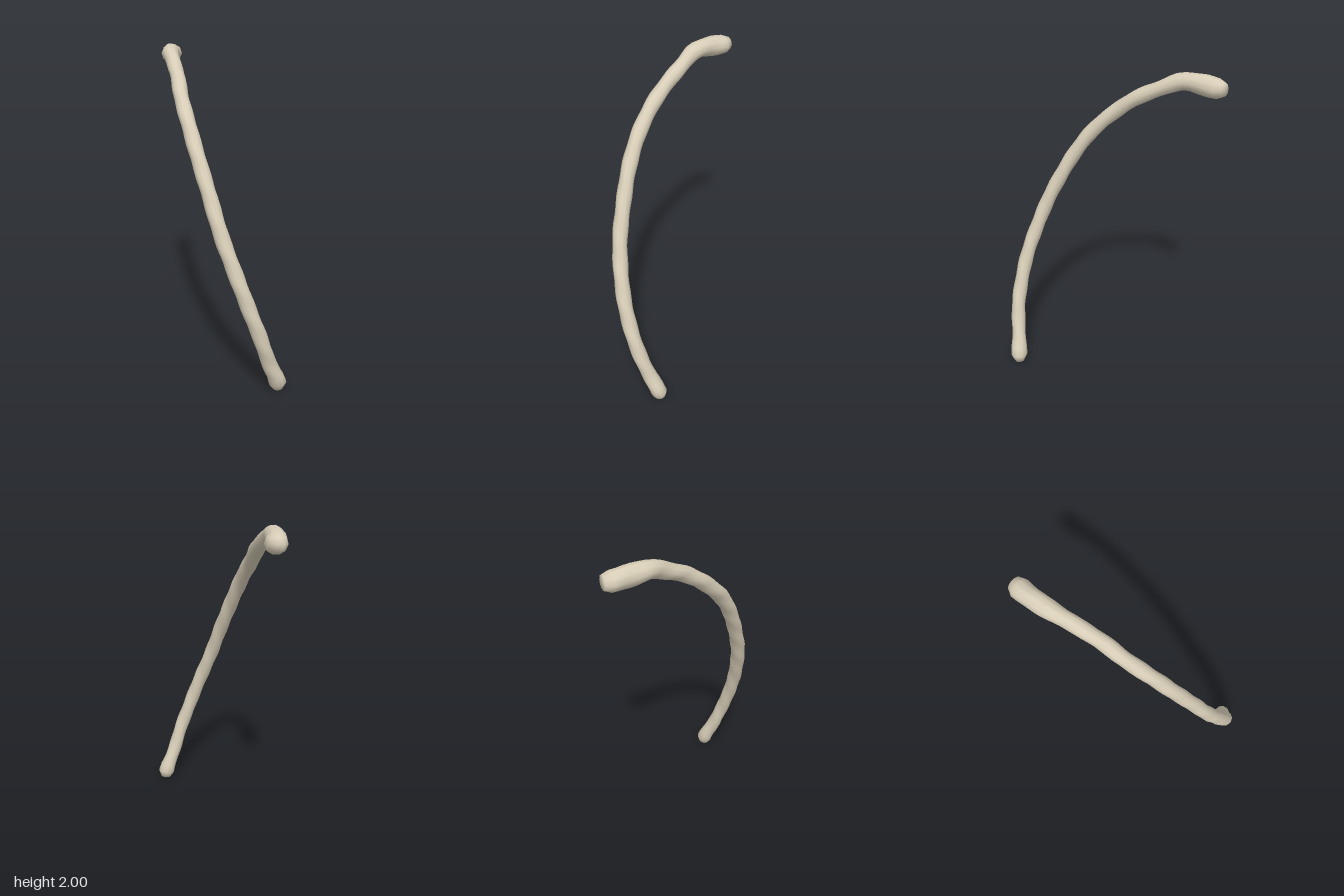
import * as THREE from 'three';

// Centre line of the bone, from the lower tip to the upper tip
const PATH = [
  [0.437, 0.005, 0.375], [0.432, 0.06, 0.385], [0.385, 0.2, 0.43], [0.33, 0.4, 0.482],
  [0.26, 0.6, 0.5], [0.18, 0.8, 0.495], [0.1, 1.0, 0.463], [0.022, 1.2, 0.405],
  [-0.058, 1.4, 0.325], [-0.152, 1.6, 0.205], [-0.215, 1.72, 0.09], [-0.262, 1.81, -0.025],
  [-0.325, 1.89, -0.165], [-0.375, 1.943, -0.28], [-0.405, 1.94, -0.39],
  [-0.422, 1.932, -0.49], [-0.428, 1.935, -0.543],
].map((p) => new THREE.Vector3(...p));

const SIDES = 10;
const RINGS = 64;

// Thickness along the bone: swollen ends and a slim shaft
function radiusAt(t) {
  const upper = 0.014 * THREE.MathUtils.smoothstep(t, 0.84, 0.97);
  const lower = 0.008 * (1 - THREE.MathUtils.smoothstep(t, 0.01, 0.08));
  return 0.046 + upper + lower;
}

// Tube with uneven, slightly knobbly rings and blunt closed tips
function boneGeometry() {
  const curve = new THREE.CatmullRomCurve3(PATH, false, 'centripetal');
  const frames = curve.computeFrenetFrames(RINGS, false);
  const positions = [];
  const index = [];
  const addRing = (i, scale) => {
    const t = i / RINGS;
    const centre = curve.getPointAt(t);
    for (let j = 0; j < SIDES; j++) {
      const a = (j / SIDES) * Math.PI * 2;
      const lump = 1 + 0.045 * Math.sin(i * 1.3 + 2 * a) + 0.03 * Math.sin(i * 0.57 - a);
      const r = radiusAt(t) * scale * lump;
      const p = centre.clone()
        .addScaledVector(frames.normals[i], Math.cos(a) * r)
        .addScaledVector(frames.binormals[i], Math.sin(a) * r);
      positions.push(p.x, p.y, p.z);
    }
  };
  addRing(0, 0);
  addRing(0, 0.6);
  for (let i = 1; i < RINGS; i++) addRing(i, 1);
  addRing(RINGS, 0.68);
  addRing(RINGS, 0);

  const count = positions.length / 3 / SIDES;
  for (let i = 0; i < count - 1; i++) {
    for (let j = 0; j < SIDES; j++) {
      const k = (j + 1) % SIDES;
      const a = i * SIDES + j, b = i * SIDES + k;
      const c = a + SIDES, d = b + SIDES;
      if (i > 0) index.push(a, b, c);
      if (i < count - 2) index.push(b, d, c);
      if (i === 0) index.push(a, d, c);
    }
  }
  // The first band needs only one triangle per side
  const clean = index.filter((_, n) => {
    const tri = n - (n % 3);
    const corners = [index[tri], index[tri + 1], index[tri + 2]];
    return corners.filter((v) => v < SIDES).length < 2;
  });
  const geometry = new THREE.BufferGeometry();
  geometry.setAttribute('position', new THREE.Float32BufferAttribute(positions, 3));
  geometry.setIndex(clean);
  geometry.computeVertexNormals();
  return geometry;
}

export function createModel() {
  const group = new THREE.Group();
  group.name = 'ribBone';
  const bone = new THREE.MeshStandardMaterial({ color: 0xd8ceb8 });
  bone.name = 'bone ivory';
  const shaft = new THREE.Mesh(boneGeometry(), bone);
  shaft.name = 'curvedShaft';
  group.add(shaft);
  return group;
}
